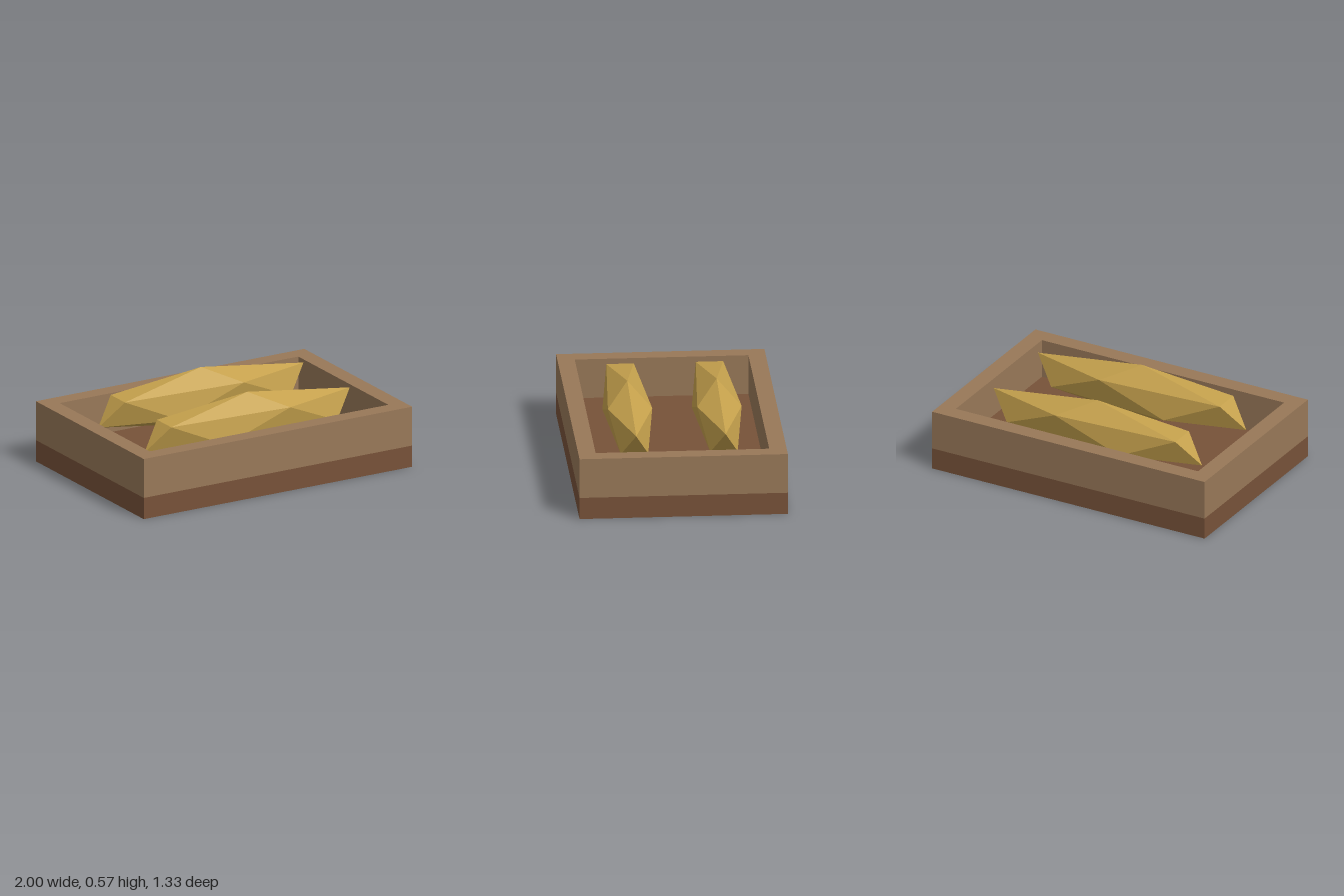
import * as THREE from 'three';

const rect = (Kind, w, d) => new Kind([
  new THREE.Vector2(-w / 2, -d / 2), new THREE.Vector2(w / 2, -d / 2),
  new THREE.Vector2(w / 2, d / 2), new THREE.Vector2(-w / 2, d / 2),
]);

export function createModel() {
  const group = new THREE.Group();
  const mat = (name, color) => {
    const m = new THREE.MeshStandardMaterial({ color });
    m.name = name;
    return m;
  };
  const darkWood = mat('dark wood', 0x775239);
  const lightWood = mat('light wood', 0x987858);
  const crust = mat('golden crust', 0xc4a04c);
  crust.flatShading = true;

  const add = (name, geometry, material, x, y, z) => {
    const mesh = new THREE.Mesh(geometry, material);
    mesh.name = name;
    mesh.position.set(x, y, z);
    group.add(mesh);
  };

  const width = 2, depth = 1.333, height = 0.405, floor = 0.143, wall = 0.111;

  // Tray floor
  add('trayBase', new THREE.BoxGeometry(width, floor, depth), darkWood, 0, floor / 2, 0);

  // Tray walls: a rectangular frame standing on the floor
  const frame = rect(THREE.Shape, width, depth);
  frame.holes.push(rect(THREE.Path, width - 2 * wall, depth - 2 * wall));
  const walls = new THREE.ExtrudeGeometry(frame, { depth: height - floor, bevelEnabled: false });
  walls.rotateX(-Math.PI / 2);
  add('trayWalls', walls, lightWood, 0, floor, 0);

  // Two loaves: stretched icosahedra with one corner pointing straight up
  const loaf = new THREE.IcosahedronGeometry(1, 0);
  loaf.rotateZ(-Math.atan(2 / (1 + Math.sqrt(5))));
  loaf.scale(0.855, 0.19, 0.167);
  loaf.computeVertexNormals();
  add('frontLoaf', loaf, crust, 0, 0.381, 0.286);
  add('backLoaf', loaf, crust, 0, 0.381, -0.286);

  return group;
}
